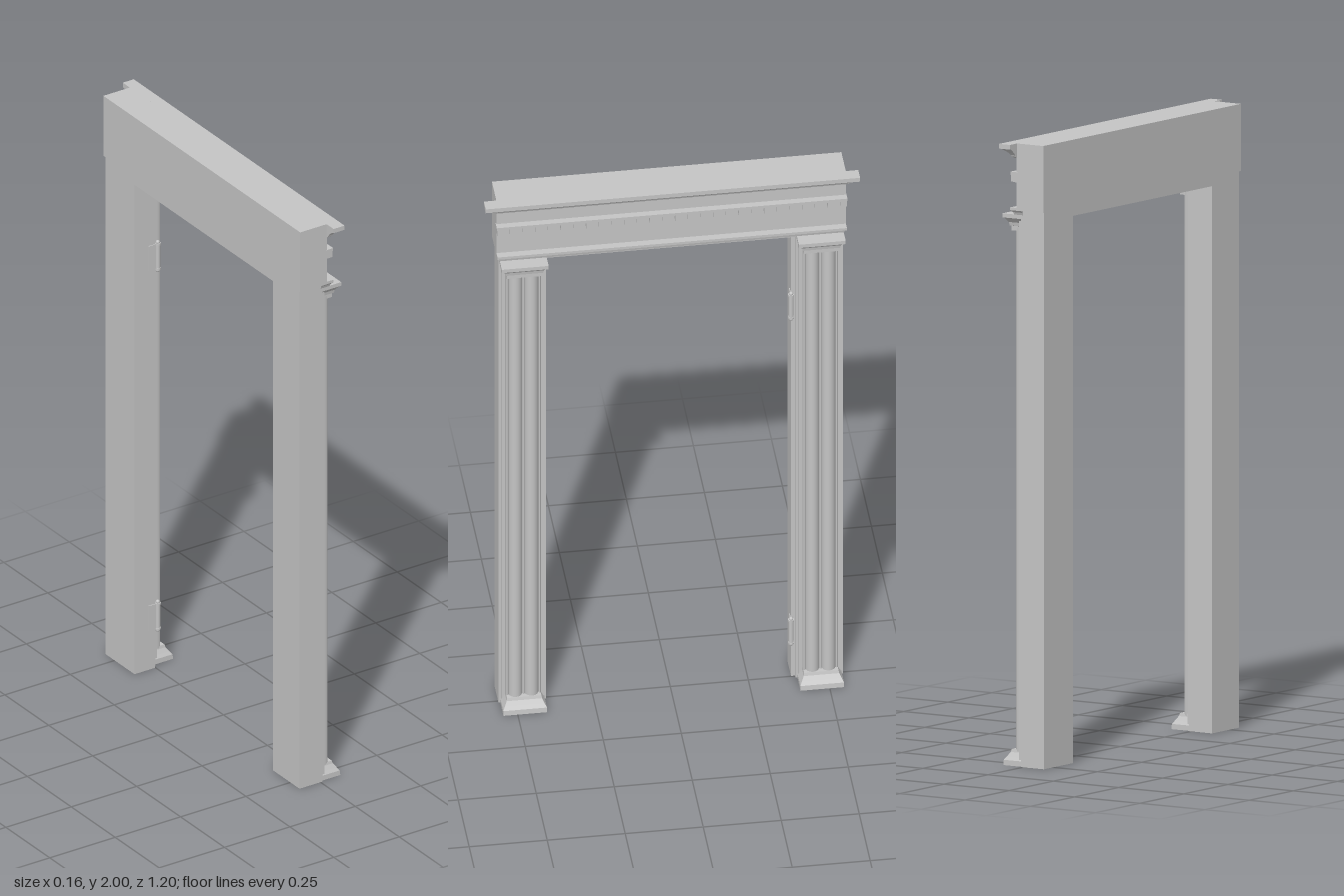
import * as THREE from 'three';

const stone = new THREE.MeshStandardMaterial({ color: 0xc4c4c4 });
stone.name = 'grey stone';

function add(parent, name, geometry, x = 0, y = 0, z = 0) {
  const mesh = new THREE.Mesh(geometry, stone);
  mesh.name = name;
  mesh.position.set(x, y, z);
  parent.add(mesh);
  return mesh;
}

// box given by its limits on each axis
function block(parent, name, x0, x1, y0, y1, z0, z1) {
  return add(parent, name, new THREE.BoxGeometry(x1 - x0, y1 - y0, z1 - z0),
    (x0 + x1) / 2, (y0 + y1) / 2, (z0 + z1) / 2);
}

// moulding with mitred ends: rings of [y, front x, half width] against a flat back
function moulding(back, rings) {
  const pos = [];
  const tri = (...p) => p.forEach(v => pos.push(...v));
  const quad = (a, b, c, d) => tri(a, b, c, a, c, d);
  const ring = ([y, x, w]) => [[back, y, w], [x, y, w], [x, y, -w], [back, y, -w]];
  for (let i = 0; i < rings.length - 1; i++) {
    const a = ring(rings[i]), b = ring(rings[i + 1]);
    for (let j = 0; j < 4; j++) {
      const k = (j + 1) % 4;
      quad(a[j], a[k], b[k], b[j]);
    }
  }
  const bottom = ring(rings[0]), top = ring(rings[rings.length - 1]);
  quad(bottom[3], bottom[2], bottom[1], bottom[0]);
  quad(top[0], top[1], top[2], top[3]);
  const g = new THREE.BufferGeometry();
  g.setAttribute('position', new THREE.Float32BufferAttribute(pos, 3));
  g.computeVertexNormals();
  return g;
}

// half-round vertical reed bulging towards +x
function reed(parent, name, radius, depth, x, z) {
  const g = new THREE.CylinderGeometry(radius, radius, 1.68, 16, 1, true, 0, Math.PI);
  g.scale(depth / radius, 1, 1);
  add(parent, name, g, x, 0.885, z);
}

function pilaster(z) {
  const p = new THREE.Group();
  p.name = 'pilaster';
  p.position.z = z;
  block(p, 'pilasterBacking', -0.01, 0.02, 0, 1.77, -0.068, 0.068);
  block(p, 'shaftCore', 0.02, 0.028, 0.03, 1.74, -0.055, 0.055);
  for (const s of [-1, 1]) reed(p, 'reed', 0.023, 0.027, 0.028, s * 0.026);
  for (const s of [-1, 0, 1]) reed(p, 'bead', 0.005, 0.014, 0.028, s * 0.052);
  add(p, 'base', moulding(0, [
    [0, 0.08, 0.07], [0.017, 0.078, 0.07], [0.028, 0.07, 0.064],
    [0.042, 0.06, 0.057], [0.052, 0.057, 0.055],
  ]));
  add(p, 'capital', moulding(0, [
    [1.715, 0.057, 0.056], [1.73, 0.057, 0.056], [1.731, 0.062, 0.06],
    [1.742, 0.064, 0.062], [1.756, 0.074, 0.073], [1.757, 0.08, 0.075], [1.77, 0.08, 0.075],
  ]));
  return p;
}

export function createModel() {
  const frame = new THREE.Group();
  frame.name = 'doorFrame';

  // uprights
  for (const s of [-1, 1]) {
    const z = [s * 0.4, s * 0.552].sort((a, b) => a - b);
    block(frame, 'jamb', -0.08, 0.008, 0, 1.79, ...z);
    frame.add(pilaster(s * 0.476));
  }
  block(frame, 'hingeJambLining', -0.08, -0.002, 0, 1.757, -0.4, -0.387);

  // lintel with its stepped underside
  block(frame, 'lintel', -0.083, 0.02, 1.785, 2, -0.56, 0.56);
  block(frame, 'lintelSoffit', -0.08, 0.005, 1.755, 1.787, -0.4, 0.4);
  block(frame, 'architraveBand', 0, 0.03, 1.765, 1.785, -0.55, 0.55);
  add(frame, 'architraveMoulding', moulding(0, [
    [1.77, 0.034, 0.552], [1.778, 0.036, 0.555], [1.784, 0.044, 0.56], [1.793, 0.044, 0.56],
  ]));

  // dentil course
  block(frame, 'dentilRail', 0.015, 0.042, 1.898, 1.908, -0.562, 0.562);
  block(frame, 'dentilBacking', 0.015, 0.026, 1.874, 1.9, -0.558, 0.558);
  const count = 28, pitch = 1.1 / (count - 1);
  for (let i = 0; i < count; i++) {
    const z = -0.55 + i * pitch;
    block(frame, 'dentil', 0.02, 0.04, 1.876, 1.9, z - 0.01, z + 0.01);
  }

  // crown cornice with a hollow curve
  add(frame, 'cornice', moulding(0.018, [
    [1.953, 0.024, 0.562], [1.958, 0.032, 0.568], [1.963, 0.034, 0.57],
    [1.97, 0.039, 0.576], [1.977, 0.046, 0.584], [1.984, 0.056, 0.594],
    [1.985, 0.06, 0.6], [2, 0.06, 0.6],
  ]));

  // hinges
  for (const y of [0.185, 1.475]) {
    const hinge = new THREE.Group();
    hinge.name = 'hinge';
    hinge.position.set(0.008, y, -0.386);
    block(hinge, 'hingeLeaf', -0.035, 0.002, -0.045, 0.045, -0.004, 0.002);
    add(hinge, 'hingeKnuckle', new THREE.CylinderGeometry(0.008, 0.008, 0.09, 12));
    for (const s of [-1, 1]) {
      add(hinge, 'hingeCollar', new THREE.CylinderGeometry(0.01, 0.01, 0.006, 12), 0, s * 0.044, 0);
      add(hinge, 'hingeFinial', new THREE.SphereGeometry(0.007, 12, 8), 0, s * 0.05, 0);
    }
    frame.add(hinge);
  }
  return frame;
}
